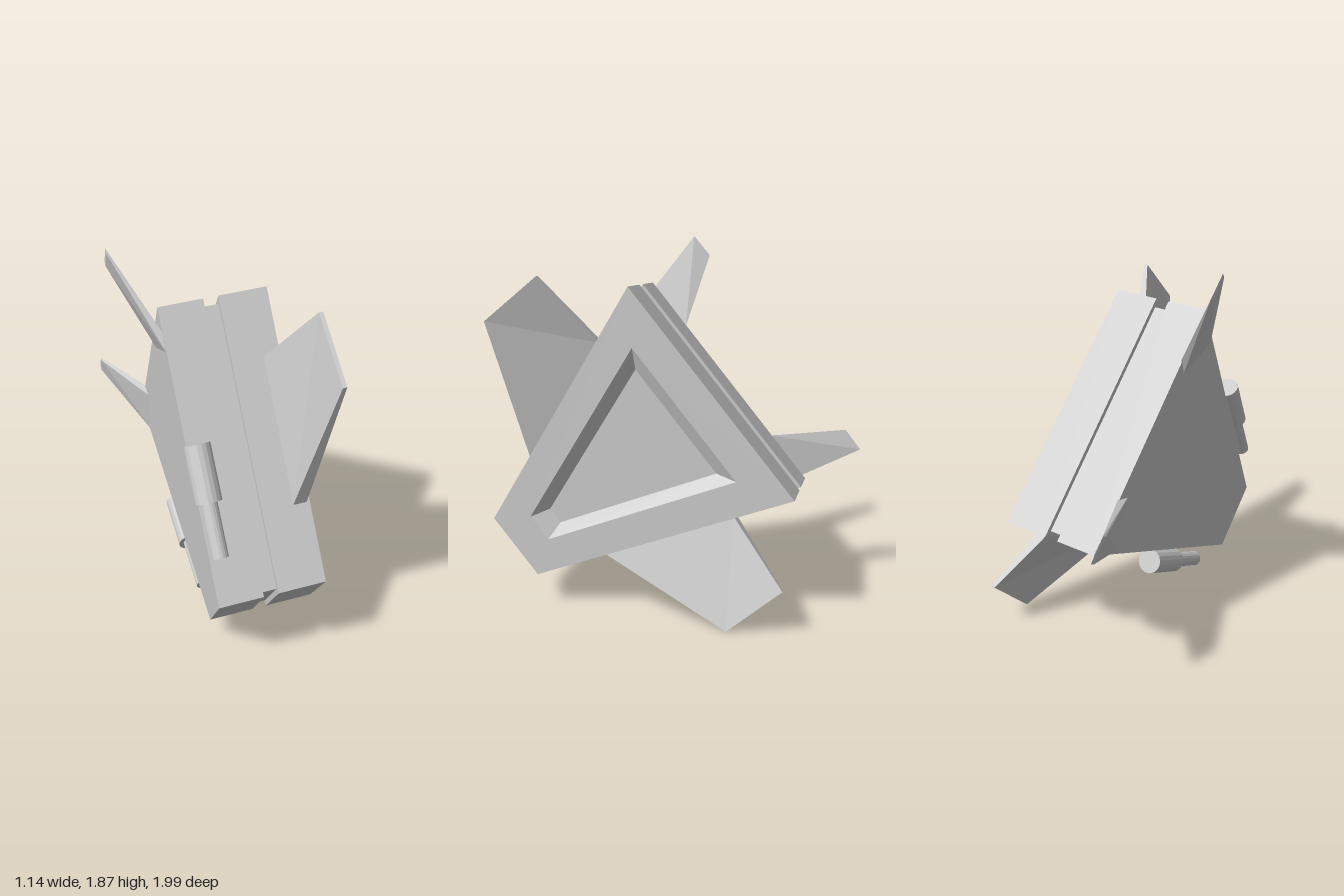
import * as THREE from 'three';

const material = new THREE.MeshStandardMaterial({ color: 0xcccccc, flatShading: true });

// Joins rings of corners into a closed flat-sided solid; side -1 mirrors it in x.
function loft(name, rings, side = 1) {
  const out = [];
  const tri = (a, b, c) => {
    for (const p of side > 0 ? [a, b, c] : [a, c, b]) out.push(p[0] * side, p[1], p[2]);
  };
  const quad = (a, b, c, d) => { tri(a, b, c); tri(a, c, d); };
  for (let r = 0; r < rings.length - 1; r++) {
    for (let i = 0; i < 4; i++) {
      const j = (i + 1) % 4;
      quad(rings[r][i], rings[r][j], rings[r + 1][j], rings[r + 1][i]);
    }
  }
  const first = rings[0], last = rings[rings.length - 1];
  quad(first[3], first[2], first[1], first[0]);
  quad(...last);
  const geometry = new THREE.BufferGeometry();
  geometry.setAttribute('position', new THREE.Float32BufferAttribute(out, 3));
  geometry.computeVertexNormals();
  const mesh = new THREE.Mesh(geometry, material);
  mesh.name = name;
  return mesh;
}

// Blunt-nosed triangle at height y
const outline = (y, nose, front, rear, back) =>
  [[-nose, y, front], [nose, y, front], [rear, y, back], [-rear, y, back]];

export function createModel() {
  const model = new THREE.Group();
  model.name = 'spacecraft';
  const craft = new THREE.Group();
  craft.name = 'craft';
  model.add(craft);

  // Hull: two slabs with a narrow recessed seam, the upper one with a sunken panel
  const hull = y => outline(y, 0.187, 1.338, 0.67, 0);
  const seam = y => outline(y, 0.168, 1.313, 0.632, 0.025);
  craft.add(loft('lowerHull', [hull(-0.527), hull(-0.309)]));
  craft.add(loft('hullSeam', [seam(-0.315), seam(-0.23)]));
  craft.add(loft('upperHull', [
    hull(-0.236), hull(0),
    outline(0, 0.075, 1.167, 0.422, 0.176),
    outline(-0.05, 0.045, 1.075, 0.332, 0.243),
  ]));

  // Cannon profile: thick body, thin barrel, hollow muzzle
  const profile = [[0, 0], [0.064, 0], [0.064, 0.27], [0.04, 0.27], [0.04, 0.53],
    [0.022, 0.53], [0.022, 0.47], [0, 0.47]].map(p => new THREE.Vector2(...p));
  const cannonGeometry = new THREE.LatheGeometry(profile, 18);

  for (const side of [1, -1]) {
    const label = side > 0 ? 'A' : 'B';

    // Wing: tapered, rising towards the tip
    craft.add(loft('wing' + label, [
      [[0.31, -0.085, 0.975], [0.55, -0.085, 0.3], [0.55, -0.018, 0.3], [0.31, -0.018, 0.975]],
      [[0.98, 0.102, 0.66], [0.98, 0.102, 0.3], [0.98, 0.122, 0.3], [0.98, 0.122, 0.66]],
    ], side));

    // Tail fin: swept down and back from the underside
    craft.add(loft('tailFin' + label, [
      [[0.376, -0.52, 0], [0.618, -0.52, 0.123], [0.573, -0.52, 0.205], [0.33, -0.52, 0.08]],
      [[0.607, -0.703, -0.308], [0.741, -0.703, -0.305], [0.735, -0.703, -0.28], [0.6, -0.703, -0.285]],
    ], side));

    // Cannon: parallel to the hull flank
    const cannon = new THREE.Mesh(cannonGeometry, material);
    cannon.name = 'cannon' + label;
    cannon.position.set(side * 0.52, -0.488, 0.634);
    cannon.quaternion.setFromUnitVectors(
      new THREE.Vector3(0, 1, 0), new THREE.Vector3(side * -0.34, 0, 1).normalize());
    craft.add(cannon);
  }

  // Bank and dive the whole craft
  const forward = new THREE.Vector3(-0.204, -0.639, 0.742).normalize();
  const across = new THREE.Vector3(0.265, -0.761, -0.593);
  across.addScaledVector(forward, -across.dot(forward)).normalize();
  const up = new THREE.Vector3().crossVectors(forward, across);
  craft.applyMatrix4(new THREE.Matrix4().makeBasis(across, up, forward).setPosition(0.262, 1.15, -0.102));
  return model;
}
